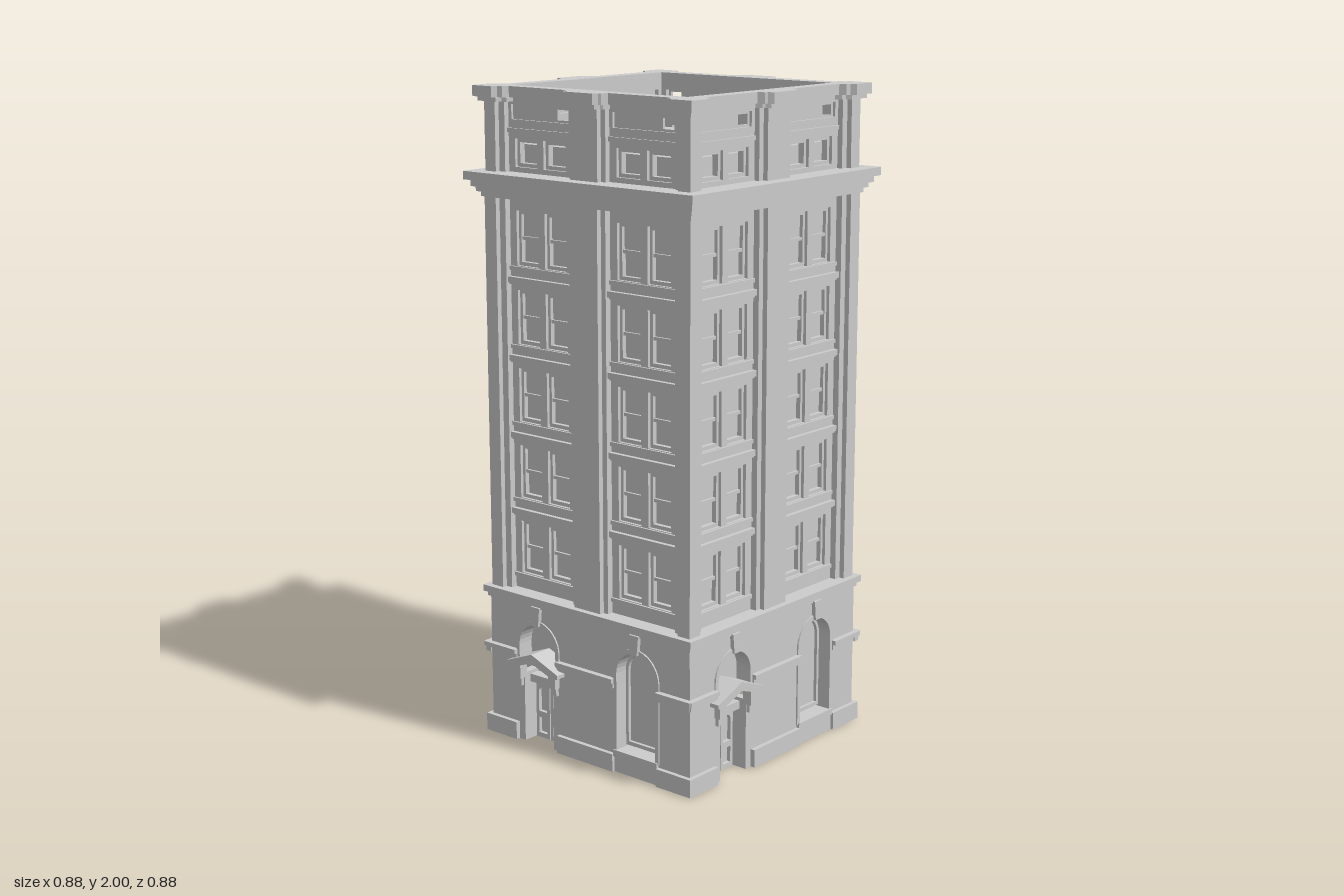
import * as THREE from 'three';

const mat = new THREE.MeshStandardMaterial({ color: 0xcccccc, flatShading: true, side: THREE.DoubleSide });
const V = (x, y) => new THREE.Vector2(x, y);
const BAYS = [-0.2, 0.197];      // bay centres on each side
const WIN = [-0.057, 0.057];     // window offsets in a bay

function mesh(parent, name, geo) {
  const m = new THREE.Mesh(geo, mat);
  m.name = name;
  parent.add(m);
  return m;
}

// box given by its limits on each axis
function box(parent, name, x0, x1, y0, y1, z0, z1) {
  const m = mesh(parent, name, new THREE.BoxGeometry(x1 - x0, y1 - y0, z1 - z0));
  m.position.set((x0 + x1) / 2, (y0 + y1) / 2, (z0 + z1) / 2);
  return m;
}

// flat outline with holes, from z0 to z1
function slab(parent, name, pts, holes, z0, z1) {
  const s = new THREE.Shape(pts);
  s.holes = holes.map(h => new THREE.Path(h));
  const m = mesh(parent, name, new THREE.ExtrudeGeometry(s, { depth: z1 - z0, bevelEnabled: false }));
  m.position.z = z0;
  return m;
}

const rect = (x0, x1, y0, y1) => [V(x0, y0), V(x1, y0), V(x1, y1), V(x0, y1)];

// arch outline from bottom left, over the top, to bottom right
function arch(cx, y0, r, spring) {
  const p = [V(cx - r, y0)];
  for (let i = 0; i <= 16; i++) {
    const a = Math.PI * (1 - i / 16);
    p.push(V(cx + r * Math.cos(a), spring + r * Math.sin(a)));
  }
  p.push(V(cx + r, y0));
  return p;
}

// square slab centred on the tower axis
const tier = (g, name, h, y0, y1) => box(g, name, -h, h, y0, y1, -h, h);

// ground storey of one side: door on the left, arched window on the right
function groundStorey(g) {
  const [d, w] = BAYS, r = 0.085, spring = 0.31;
  slab(g, 'groundWall', [V(-0.399, 0), ...arch(d, 0, r, spring), V(0.399, 0), V(0.399, 0.45), V(-0.399, 0.45)],
    [arch(w, 0.065, r, spring)], 0.37, 0.4);

  // plinth and string course, broken by the openings
  for (const [a, b] of [[-0.414, d - r], [d + r, w - r], [w + r, 0.414]]) {
    box(g, 'plinth', a, b, 0, 0.055, 0.39, 0.414);
    box(g, 'stringCourse', a, b, 0.262, 0.278, 0.39, 0.41);
    box(g, 'stringCourseCap', a, b, 0.278, 0.292, 0.39, 0.418);
  }
  box(g, 'windowSill', w - r, w + r, 0.05, 0.07, 0.35, 0.41);
  box(g, 'windowApron', w - r, w + r, 0, 0.05, 0.37, 0.405);

  // arch surrounds, reveals and keystones
  for (const [cx, y0] of [[d, 0.24], [w, 0.065]]) {
    slab(g, 'archTrim', [...arch(cx, y0, r + 0.004, spring), ...arch(cx, y0, r - 0.01, spring).reverse()], [], 0.345, 0.405);
    slab(g, 'archPanel', arch(cx, y0, r, spring), [], 0.345, 0.352);
    slab(g, 'keystone', [V(cx - 0.012, 0.385), V(cx + 0.012, 0.385), V(cx + 0.018, 0.445), V(cx - 0.018, 0.445)], [], 0.39, 0.413);
  }
  slab(g, 'archWindowFrame', arch(w, 0.075, r - 0.01, spring), [arch(w, 0.087, r - 0.02, spring)], 0.35, 0.362);

  // entrance
  box(g, 'doorBack', d - r, d + r, 0, 0.25, 0.33, 0.34);
  for (const s of [-1, 1]) {
    const e = d + s * (r - 0.012);
    box(g, 'doorJamb', e - 0.013, e + 0.013, 0, 0.22, 0.33, 0.4);
    const c = d + s * 0.03;
    slab(g, 'doorLeaf', rect(c - 0.028, c + 0.028, 0, 0.185),
      [rect(c - 0.017, c + 0.017, 0.015, 0.065), arch(c, 0.085, 0.017, 0.15)], 0.34, 0.352);
    box(g, 'hoodBracket', e - 0.014, e + 0.014, 0.205, 0.25, 0.39, 0.42);
    box(g, 'hoodBracketFoot', e - 0.01, e + 0.01, 0.18, 0.205, 0.39, 0.411);
  }
  box(g, 'doorLintel', d - r, d + r, 0.185, 0.21, 0.34, 0.375);
  slab(g, 'doorHood', [V(d - 0.108, 0.246), V(d - 0.09, 0.24), V(d, 0.272), V(d + 0.09, 0.24),
    V(d + 0.108, 0.246), V(d + 0.108, 0.258), V(d, 0.3), V(d - 0.108, 0.258)], [], 0.345, 0.432);
  slab(g, 'hoodPediment', [V(d - 0.085, 0.243), V(d + 0.085, 0.243), V(d, 0.274)], [], 0.345, 0.385);
}

// double-hung sash window
function sash(g, x, y) {
  const a = 0.044, b = 0.082;
  slab(g, 'windowFrame', rect(x - a, x + a, y - b, y + b),
    [rect(x - a + 0.01, x + a - 0.01, y - b + 0.011, y + b - 0.011)], 0.335, 0.35);
  box(g, 'upperSash', x - a + 0.01, x + a - 0.01, y, y + b - 0.011, 0.33, 0.339);
  box(g, 'meetingRail', x - a + 0.01, x + a - 0.01, y - 0.005, y + 0.005, 0.33, 0.347);
}

// five office floors of one side
function shaft(g) {
  const holes = [], y0 = 0.607, step = 0.237;
  for (let f = 0; f < 5; f++) for (const c of BAYS) {
    const y = y0 + f * step;
    for (const o of WIN) {
      holes.push(rect(c + o - 0.044, c + o + 0.044, y - 0.082, y + 0.082));
      sash(g, c + o, y);
    }
    box(g, 'windowLedge', c - 0.127, c + 0.127, y - 0.096, y - 0.084, 0.35, 0.367);
    if (f < 4) {
      box(g, 'floorBand', c - 0.13, c + 0.13, y + 0.104, y + 0.122, 0.35, 0.374);
      box(g, 'floorBandLip', c - 0.13, c + 0.13, y + 0.098, y + 0.104, 0.35, 0.367);
    }
  }
  slab(g, 'bayWall', rect(-0.36, 0.36, 0.46, 1.69), holes, 0.33, 0.36);
  piers(g, 0.475, 1.69, 0.396);
}

// stepped pilaster in the middle and the corner pier
function piers(g, y0, y1, d) {
  box(g, 'middlePilaster', -0.052, 0.052, y0, y1, 0.33, d);
  box(g, 'middlePilasterStep', -0.071, 0.069, y0, y1, 0.33, d - 0.016);
  box(g, 'cornerPier', 0.35, d, y0, y1, 0.35, d);
  for (const s of [-1, 1]) box(g, 'cornerPierStep', s * 0.341 - 0.014, s * 0.341 + 0.014, y0, y1, 0.331, d - 0.016);
}

// attic storey and parapet of one side
function attic(g) {
  const holes = [];
  for (const c of BAYS) {
    for (const o of WIN) {
      const x = c + o;
      holes.push(rect(x - 0.045, x + 0.045, 1.765, 1.848));
      slab(g, 'atticWindowFrame', rect(x - 0.045, x + 0.045, 1.765, 1.848),
        [rect(x - 0.034, x + 0.034, 1.776, 1.837)], 0.33, 0.35);
    }
    // frieze panel with a small opening
    holes.push(rect(c - 0.115, c + 0.115, 1.903, 1.947));
    slab(g, 'friezePanel', rect(c - 0.115, c + 0.115, 1.903, 1.947),
      [rect(c + 0.063, c + 0.105, 1.91, 1.94)], 0.344, 0.352);
    box(g, 'atticBand', c - 0.127, c + 0.127, 1.865, 1.878, 0.35, 0.367);
  }
  slab(g, 'atticWall', rect(-0.36, 0.36, 1.74, 1.97), holes, 0.33, 0.36);
  piers(g, 1.75, 1.97, 0.393);
}

// coping that follows the piers, as one ring
function coping(g, y0, y1, inset) {
  const half = [[0.056, 0.417], [0.064, 0.4], [0.072, 0.396], [0.08, 0.376],
    [0.308, 0.376], [0.316, 0.396], [0.332, 0.4], [0.34, 0.417]];
  const side = [...half.map(([x, z]) => [-x, z]).reverse(), ...half, [0.417, 0.417]];
  const pts = [];
  for (let k = 0; k < 4; k++) for (const [x, z] of side)
    pts.push(V(x, z).multiplyScalar(1 - inset).rotateAround(V(0, 0), -k * Math.PI / 2));
  const m = slab(g, 'coping', pts, [rect(-0.33, 0.33, -0.33, 0.33)], 0, y1 - y0);
  m.rotation.x = -Math.PI / 2;
  m.position.y = y0;
}

export function createModel() {
  const model = new THREE.Group();
  model.name = 'tower';

  const side = new THREE.Group();
  groundStorey(side);
  shaft(side);
  attic(side);
  for (let k = 0; k < 4; k++) {
    const s = side.clone();
    s.name = 'facade' + (k + 1);
    s.rotation.y = k * Math.PI / 2;
    model.add(s);
  }

  // core and roof
  tier(model, 'core', 0.331, 0.46, 1.83).name = 'coreAndRoof';

  // band above the ground storey
  tier(model, 'baseBandLower', 0.406, 0.44, 0.455);
  tier(model, 'baseBandUpper', 0.416, 0.455, 0.475);

  // stepped main cornice
  [[0.403, 1.675, 1.69], [0.414, 1.69, 1.705], [0.425, 1.705, 1.725], [0.44, 1.725, 1.75]]
    .forEach(([h, a, b]) => tier(model, 'cornice', h, a, b));

  coping(model, 1.955, 1.968, 0.025);
  coping(model, 1.968, 2, 0);
  return model;
}
